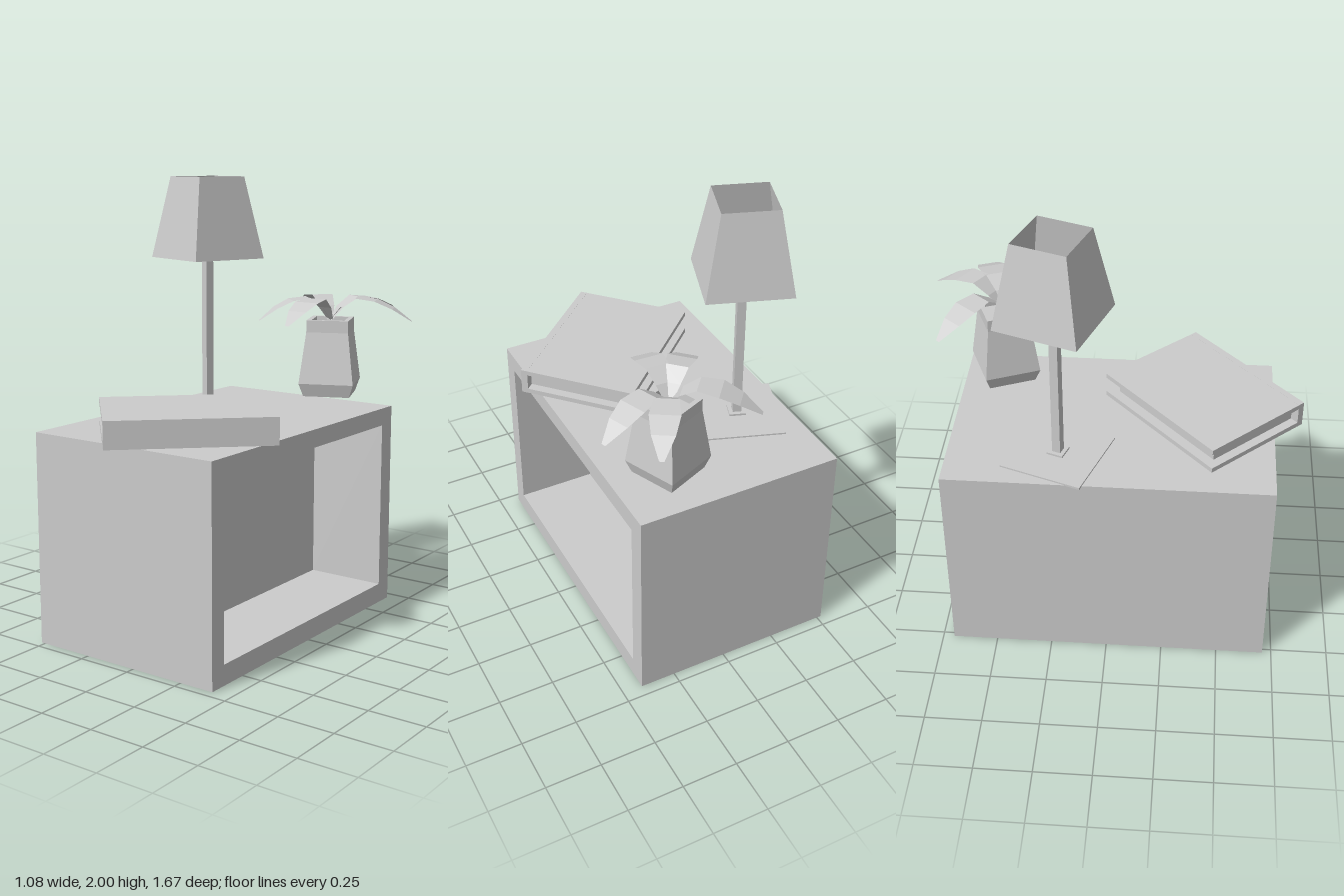
import * as THREE from 'three';

const grey = new THREE.MeshStandardMaterial({ color: 0xcccccc, flatShading: true });
const thin = new THREE.MeshStandardMaterial({ color: 0xcccccc, flatShading: true, side: THREE.DoubleSide });

function add(parent, name, geometry, x = 0, y = 0, z = 0, material = grey) {
  const mesh = new THREE.Mesh(geometry, material);
  mesh.name = name;
  mesh.position.set(x, y, z);
  parent.add(mesh);
  return mesh;
}

function group(parent, name, x, y, z, turn) {
  const g = new THREE.Group();
  g.name = name;
  g.position.set(x, y, z);
  g.rotation.y = turn;
  parent.add(g);
  return g;
}

const box = (w, h, d) => new THREE.BoxGeometry(w, h, d);

// Four-sided lathe; each profile point is [edge length, y]
function squareLathe(profile) {
  const points = profile.map(([edge, y]) => new THREE.Vector2(edge * Math.SQRT1_2, y));
  return new THREE.LatheGeometry(points, 4, Math.PI / 4);
}

function rectangle(path, x0, x1, y0, y1) {
  path.moveTo(x0, y0).lineTo(x1, y0).lineTo(x1, y1).lineTo(x0, y1).closePath();
  return path;
}

// Drooping leaf made of flat strips; sections are [distance, y, width]
function leafGeometry(length) {
  const sections = [[0.0, 1.35, 0.03], [0.05, 1.41, 0.07], [0.12, 1.455, 0.10],
    [0.21, 1.445, 0.125], [0.29, 1.41, 0.095], [0.375, 1.353, 0.02]];
  const positions = [], index = [];
  sections.forEach(([r, y, w], i) => {
    const d = r * length / 0.375;
    positions.push(d, y, -w / 2, d, y, w / 2);
    if (i) {
      const a = 2 * i - 2;
      index.push(a, a + 1, a + 2, a + 1, a + 3, a + 2);
    }
  });
  const g = new THREE.BufferGeometry();
  g.setAttribute('position', new THREE.Float32BufferAttribute(positions, 3));
  g.setIndex(index);
  g.computeVertexNormals();
  return g;
}

export function createModel() {
  const model = new THREE.Group();
  model.name = 'bedsideCabinet';

  // Cabinet: solid half plus a framed compartment opening to +x
  const cabinet = group(model, 'cabinet', 0, 0, 0, 0);
  add(cabinet, 'cabinetBody', box(0.56, 0.94, 1.41), -0.24, 0.47, 0.005);
  const frame = rectangle(new THREE.Shape(), -0.71, 0.70, 0, 0.94);
  frame.holes.push(rectangle(new THREE.Path(), -0.63, 0.615, 0.09, 0.86));
  const frameGeometry = new THREE.ExtrudeGeometry(frame, { depth: 0.37, bevelEnabled: false });
  add(cabinet, 'compartmentFrame', frameGeometry, 0.04, 0, 0).rotation.y = Math.PI / 2;

  // Lamp
  const lamp = group(model, 'lamp', -0.305, 0, -0.22, -0.34);
  add(lamp, 'lampBase', box(0.371, 0.01, 0.371), 0, 0.942, 0);
  add(lamp, 'lampFoot', box(0.073, 0.01, 0.073), 0, 0.951, 0);
  add(lamp, 'lampStem', box(0.038, 0.69, 0.038), 0, 1.295, 0);
  add(lamp, 'lampCap', box(0.073, 0.01, 0.073), 0, 1.64, 0);
  add(lamp, 'lampShade', squareLathe([[0.371, 1.63], [0.242, 2.0]]), 0, 0, 0, thin);

  // Book: two covers, a spine and an inset block of pages
  const book = group(model, 'book', 0.04, 0, 0.393, 0.75);
  for (const y of [0.958, 1.053]) add(book, 'bookCover', box(0.708, 0.022, 0.535), 0, y, 0);
  add(book, 'bookSpine', box(0.708, 0.118, 0.03), 0, 1.0055, 0.2525);
  add(book, 'bookPages', box(0.628, 0.075, 0.46), 0, 1.0055, 0.008);

  // Potted plant
  const plant = group(model, 'plant', 0.187, 0, -0.507, 0);
  const pot = add(plant, 'pot', squareLathe([[0, 1.005], [0.212, 1.005], [0.25, 1.065],
    [0.192, 1.3], [0.192, 1.355], [0.15, 1.355], [0.15, 1.32], [0, 1.32]]), 0, 0, 0, thin);
  pot.rotation.y = 0.4;

  // Leaf tips as [x, z] from the pot's centre
  for (const [x, z] of [[-0.29, -0.24], [0.2, -0.325], [0.35, -0.135], [-0.015, 0.342], [-0.235, 0.237]]) {
    const leaf = add(plant, 'leaf', leafGeometry(Math.hypot(x, z)), 0, 0, 0, thin);
    leaf.rotation.y = Math.atan2(-z, x);
  }
  return model;
}
